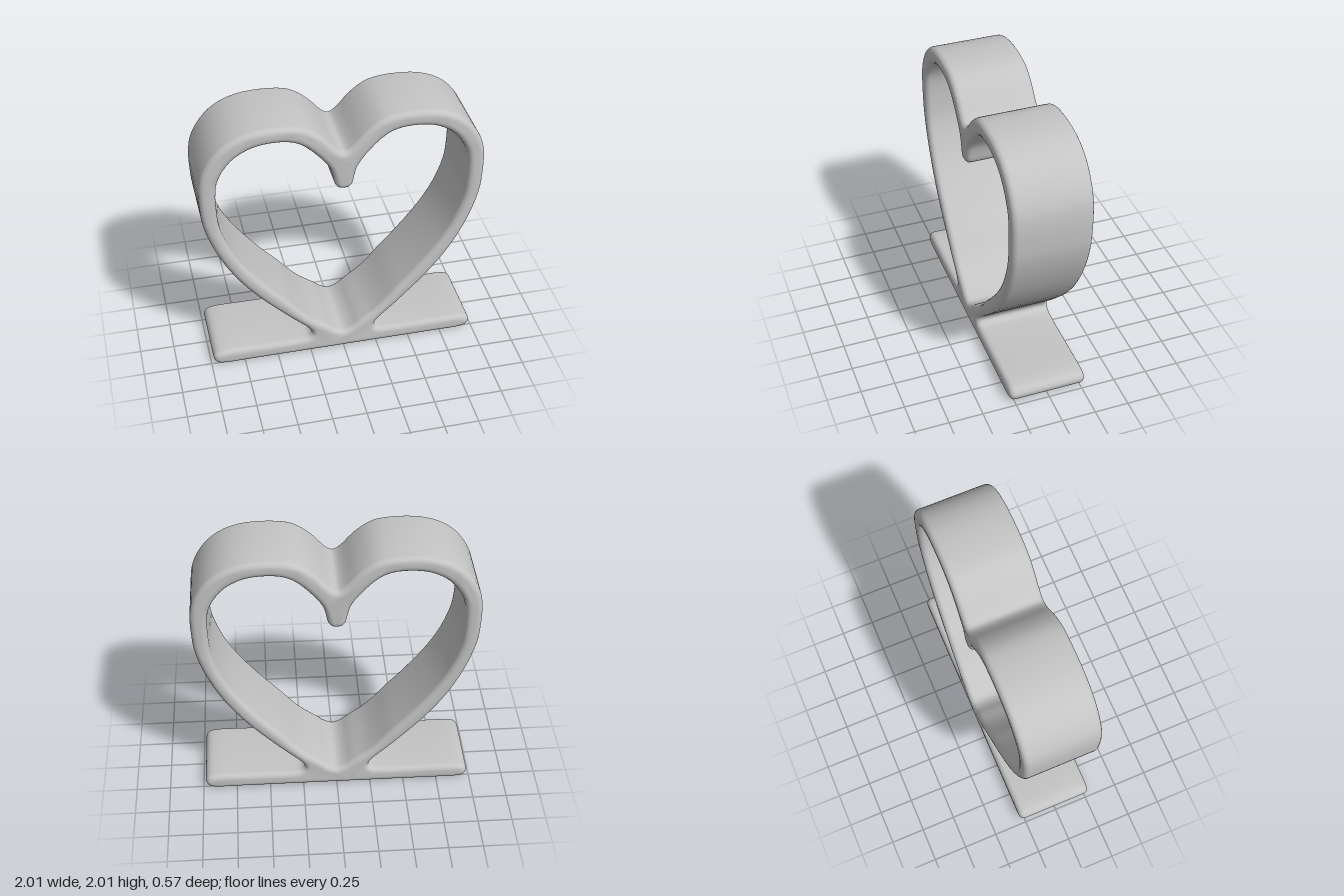
import * as THREE from 'three';
import { toCreasedNormals } from 'three/addons/utils/BufferGeometryUtils.js';

// Right half of the silhouette: base plate, then up the outside of the heart
const OUTER = [
  [0.3, 0], [0.7, 0], [0.92, 0.003], [0.965, 0.022], [0.982, 0.06], [0.965, 0.098], [0.92, 0.117],
  [0.7, 0.12], [0.31, 0.12], [0.26, 0.13], [0.238, 0.155], [0.25, 0.195],
  [0.4, 0.345], [0.64, 0.6], [0.8, 0.82], [0.92, 1.06], [0.985, 1.27], [1, 1.4],
  [1, 1.6], [0.97, 1.72], [0.88, 1.86], [0.76, 1.95], [0.6, 1.998], [0.36, 1.998],
  [0.25, 1.965], [0.14, 1.88], [0.05, 1.78],
];

// Right half of the opening, from the bottom up to the tip of the notch
const INNER = [
  [0.06, 0.165], [0.12, 0.215], [0.22, 0.29], [0.3, 0.37], [0.4, 0.49], [0.53, 0.635],
  [0.7, 0.855], [0.8, 1.03], [0.87, 1.23], [0.885, 1.35], [0.885, 1.56], [0.86, 1.66],
  [0.77, 1.79], [0.66, 1.86], [0.56, 1.887], [0.4, 1.887], [0.3, 1.85], [0.19, 1.75],
  [0.1, 1.63], [0.075, 1.55], [0.06, 1.485], [0.035, 1.458],
];

// Mirror a half profile into a smooth closed loop
function loop(half, bottomY, topY) {
  const left = half.map(([x, y]) => [-x, y]).reverse();
  const pts = [[0, bottomY], ...half, [0, topY], ...left].map(([x, y]) => new THREE.Vector3(x, y, 0));
  const curve = new THREE.CatmullRomCurve3(pts, true, 'centripetal');
  return curve.getPoints(pts.length * 3).slice(0, -1).map((p) => new THREE.Vector2(p.x, p.y));
}

export function createModel() {
  const group = new THREE.Group();
  group.name = 'heartStand';
  const grey = new THREE.MeshStandardMaterial({ color: 0xc4c4c4 });
  grey.name = 'lightGrey';

  // Heart band and base plate, one body with rounded front and back edges
  const shape = new THREE.Shape(loop(OUTER, 0, 1.752));
  shape.holes.push(new THREE.Path(loop(INNER, 0.142, 1.452)));
  const bevel = 0.042, halfDepth = 0.285;
  const geometry = new THREE.ExtrudeGeometry(shape, {
    depth: 2 * (halfDepth - bevel),
    bevelEnabled: true,
    bevelSize: bevel,
    bevelOffset: -bevel,
    bevelThickness: bevel,
    bevelSegments: 5,
  });
  geometry.translate(0, 0, bevel - halfDepth);

  const body = new THREE.Mesh(toCreasedNormals(geometry, 0.9), grey);
  body.name = 'heartBandWithBase';
  group.add(body);
  return group;
}
